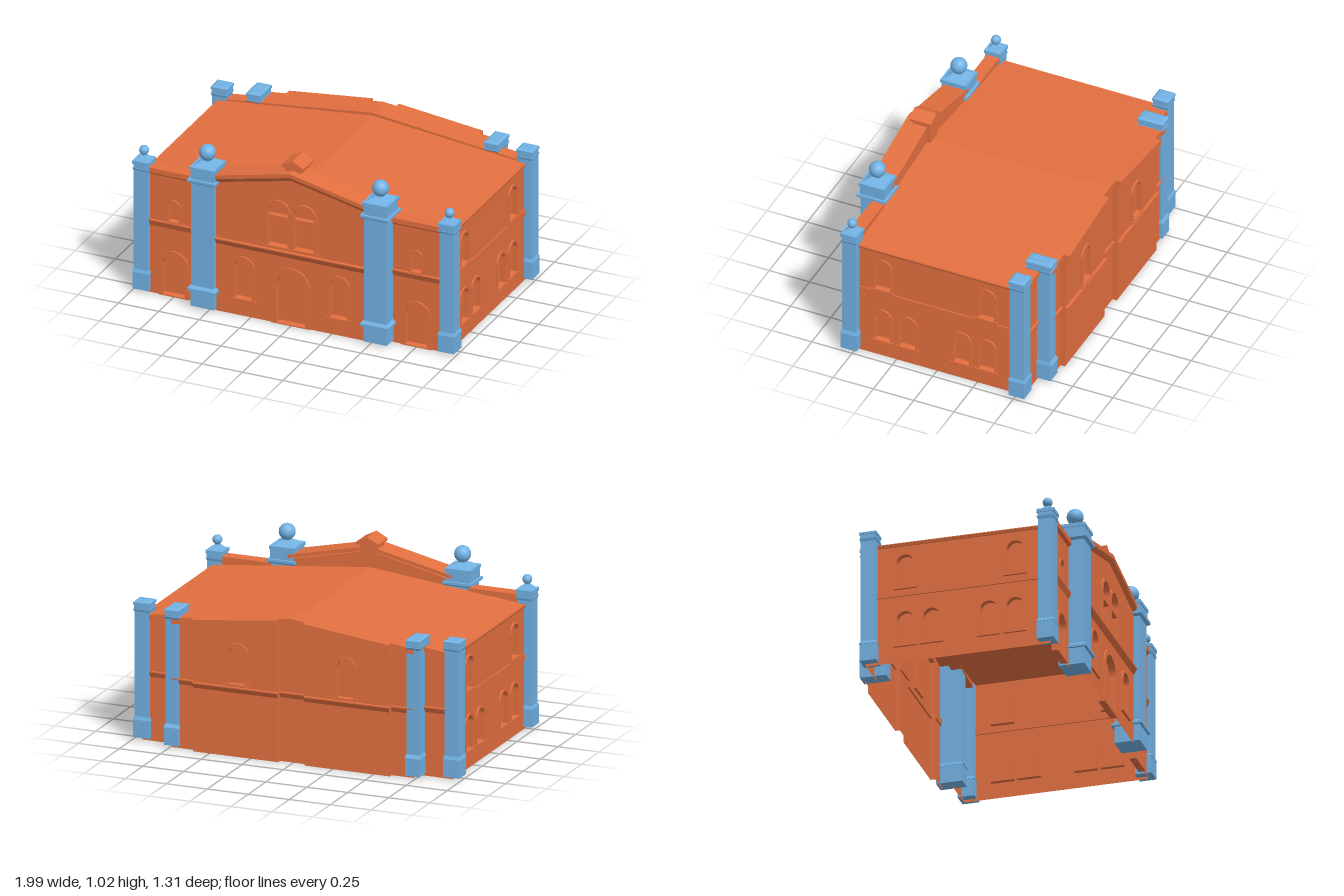
import * as THREE from 'three';

const brick = new THREE.MeshStandardMaterial({ color: 0xe37040, flatShading: true });
const brickSheet = new THREE.MeshStandardMaterial({ color: 0xe37040, side: THREE.DoubleSide });
const blue = new THREE.MeshStandardMaterial({ color: 0x72b2e4, flatShading: true });
const blueSmooth = new THREE.MeshStandardMaterial({ color: 0x72b2e4 });

function add(parent, name, geometry, material = brick) {
  const mesh = new THREE.Mesh(geometry, material);
  mesh.name = name;
  parent.add(mesh);
  return mesh;
}

// Box given by its limits
function box(parent, name, x0, x1, y0, y1, z0, z1) {
  const mesh = add(parent, name, new THREE.BoxGeometry(x1 - x0, y1 - y0, z1 - z0));
  mesh.position.set((x0 + x1) / 2, (y0 + y1) / 2, (z0 + z1) / 2);
}

// Shape extruded between two depths
function slab(parent, name, shape, z0, z1) {
  const geo = new THREE.ExtrudeGeometry(shape, { depth: z1 - z0, bevelEnabled: false, curveSegments: 14 });
  geo.translate(0, 0, z0);
  return add(parent, name, geo);
}

// Flat open surface
function sheet(parent, name, shape, z) {
  add(parent, name, new THREE.ShapeGeometry(shape, 14).translate(0, 0, z), brickSheet);
}

const poly = (pts) => new THREE.Shape(pts.map((p) => new THREE.Vector2(p[0], p[1])));
const rect = (x0, x1, y0, y1) => [[x0, y0], [x1, y0], [x1, y1], [x0, y1]];

// Round-headed opening outline
function arch(x, half, y0, top, Type = THREE.Shape) {
  const s = new Type();
  s.moveTo(x - half, y0);
  s.lineTo(x + half, y0);
  s.lineTo(x + half, top - half);
  s.absarc(x, top - half, half, 0, Math.PI, false);
  s.lineTo(x - half, y0);
  return s;
}

// Thin wall with recessed arched openings, raised surrounds and sills
function wall(parent, name, pts, z, openings, recess = 0.03) {
  const shape = poly(pts);
  for (const o of openings) {
    const t = o.trim ?? 0.018;
    const inner = [o.x, o.half - t, o.y0 + 0.008, o.top - t];
    shape.holes.push(arch(...inner, THREE.Path));
    sheet(parent, name + 'Pane', arch(...inner), z - recess);
    const ring = arch(o.x, o.half, o.y0 + 0.001, o.top);
    ring.holes.push(arch(...inner, THREE.Path));
    slab(parent, name + 'Surround', ring, z - recess, z + 0.01);
    if (o.sill) box(parent, name + 'Sill', o.x - o.half - 0.008, o.x + o.half + 0.008, o.y0 - 0.006, o.y0 + 0.008, z - recess, z + 0.014);
  }
  sheet(parent, name, shape, z);
}

// Ledge along x whose underside slopes out from the wall
function ledge(parent, name, x0, x1, y0, y1, z, out) {
  const mesh = slab(parent, name, poly([[z - 0.01, y0], [z, y0], [z + out, y1 - 0.006], [z + out, y1], [z - 0.01, y1]]), x0, x1);
  // profile (z, y) swept along x
  mesh.geometry.applyMatrix4(new THREE.Matrix4().set(0, 0, -1, x0 + x1, 0, 1, 0, 0, 1, 0, 0, 0, 0, 0, 0, 1));
  return mesh;
}

// Pier from stacked four-sided blocks: [bottom width, top width, y0, y1]
function pier(parent, name, x, z, depthRatio, layers, ball) {
  const g = new THREE.Group();
  g.name = name;
  for (const [w0, w1, y0, y1] of layers) {
    const geo = new THREE.CylinderGeometry(w1 * Math.SQRT1_2, w0 * Math.SQRT1_2, y1 - y0, 4);
    geo.rotateY(Math.PI / 4);
    geo.scale(1, 1, depthRatio);
    geo.translate(0, (y0 + y1) / 2, 0);
    add(g, name + 'Block', geo, blue);
  }
  if (ball) add(g, name + 'Ball', new THREE.SphereGeometry(ball[0], 24, 16), blueSmooth).position.y = ball[1];
  g.position.set(x, 0, z);
  parent.add(g);
}

const bigPier = [
  [0.145, 0.145, 0.015, 0.115], [0.174, 0.174, 0.115, 0.13], [0.165, 0.14, 0.13, 0.145],
  [0.14, 0.14, 0.145, 0.785], [0.15, 0.174, 0.785, 0.795], [0.174, 0.174, 0.795, 0.81],
  [0.145, 0.145, 0.81, 0.865], [0.155, 0.155, 0.865, 0.885], [0.13, 0.05, 0.885, 0.91], [0.04, 0.04, 0.9, 0.93],
];
const plainPier = [
  [0.098, 0.098, 0.015, 0.12], [0.104, 0.088, 0.12, 0.14], [0.088, 0.088, 0.14, 0.755],
  [0.09, 0.1, 0.755, 0.77], [0.092, 0.092, 0.77, 0.795],
];
const cornerPier = [...plainPier, [0.102, 0.102, 0.795, 0.815], [0.075, 0.03, 0.815, 0.84], [0.022, 0.022, 0.835, 0.85]];
const backPier = [...plainPier, [0.1, 0.1, 0.795, 0.81], [0.1, 0.07, 0.81, 0.817]];

export function createModel() {
  const model = new THREE.Group();
  model.name = 'hall';

  // Low gabled roof
  slab(model, 'roof', poly([[-0.95, 0.715], [0.95, 0.715], [0.955, 0.73], [0, 0.833], [-0.955, 0.73]]), -0.48, 0.49);

  // Gabled centre of the front
  const front = new THREE.Group();
  front.name = 'frontCentre';
  model.add(front);
  wall(front, 'frontWall', [[-0.47, 0], [0.47, 0], [0.47, 0.82], [0, 0.93], [-0.47, 0.82]], 0.6, [
    { x: 0, half: 0.12, y0: 0, top: 0.36, trim: 0.03 },
    { x: -0.295, half: 0.072, y0: 0.1, top: 0.37, sill: true },
    { x: 0.295, half: 0.072, y0: 0.1, top: 0.37, sill: true },
    { x: -0.081, half: 0.08, y0: 0.475, top: 0.77, sill: true },
    { x: 0.081, half: 0.08, y0: 0.475, top: 0.77, sill: true },
  ]);
  box(front, 'windowTransom', -0.15, 0.15, 0.63, 0.67, 0.57, 0.603);
  ledge(front, 'frontBand', -0.47, 0.47, 0.42, 0.46, 0.6, 0.02);
  slab(front, 'gableParapet', poly([[-0.53, 0.73], [0, 0.82], [0.53, 0.73], [0.53, 0.81], [0, 0.93], [-0.53, 0.81]]), 0.49, 0.595);
  slab(front, 'gableCoping', poly([[-0.5, 0.825], [0, 0.935], [0.5, 0.825], [0.5, 0.845], [0, 0.957], [-0.5, 0.845]]), 0.485, 0.622);
  // Peak block
  box(front, 'peakBlock', -0.05, 0.05, 0.84, 0.985, 0.465, 0.575);
  slab(front, 'peakCap', poly([[-0.068, 0.972], [0.068, 0.972], [0.068, 0.985], [0, 1.02], [-0.068, 0.985]]), 0.45, 0.585);

  for (const s of [-1, 1]) {
    // Raking moulding under the gable coping
    const rake = ledge(front, 'gableMoulding', Math.min(0, s * 0.5), Math.max(0, s * 0.5), 0.905, 0.938, 0.6, 0.02);
    rake.geometry.applyMatrix4(new THREE.Matrix4().makeShear(-s * 0.222, 0, 0, 0, 0, 0));

    // Front wings
    const [a, b] = s < 0 ? [-0.905, -0.6] : [0.6, 0.905];
    wall(model, 'wingWall', rect(a, b, 0, 0.76), 0.545, [
      { x: s * 0.75, half: 0.092, y0: 0, top: 0.285, trim: 0.024 },
      { x: s * 0.75, half: 0.04, y0: 0.46, top: 0.605, trim: 0.008 },
    ]);
    ledge(model, 'wingBand', a, b, 0.42, 0.46, 0.545, 0.015);
    ledge(model, 'wingCornice', a, b, 0.74, 0.765, 0.545, 0.015);
    box(model, 'wingParapet', a, b, 0.715, 0.76, 0.49, 0.54);
    box(model, 'wingCoping', a, b, 0.755, 0.785, 0.485, 0.562);

    // Side walls, built facing +z and turned outwards
    const side = new THREE.Group();
    side.name = s < 0 ? 'rightSide' : 'leftSide';
    side.rotation.y = s * Math.PI / 2;
    model.add(side);
    const openings = [0.335, 0.18, -0.155, -0.31].map((z) => ({ x: -s * z, half: 0.061, y0: 0.1, top: 0.32, trim: 0.012, sill: true }));
    for (const z of [0.335, -0.31]) openings.push({ x: -s * z, half: 0.061, y0: 0.455, top: 0.67, trim: 0.012, sill: true });
    wall(side, 'sideWall', rect(-0.54, 0.54, 0, 0.72), 0.943, openings, 0.025);
    box(side, 'sideBand', -0.48, 0.48, 0.405, 0.445, 0.935, 0.951);
    ledge(side, 'sideCornice', -0.48, 0.48, 0.715, 0.733, 0.943, 0.012);

    // Piers
    pier(model, 'frontPier', s * 0.535, 0.562, 1.03, bigPier, [0.048, 0.957]);
    pier(model, 'frontCornerPier', s * 0.945, 0.525, 1, cornerPier, [0.028, 0.87]);
    pier(model, 'backCornerPier', s * 0.945, -0.515, 1, backPier);
    pier(model, 'backPier', s * 0.735, -0.55, 1.75, backPier.map(([p, q, y0, y1]) => [p * 0.9, q * 0.9, y0, y1]));
  }

  // Back wall, built facing +z and turned round
  const back = new THREE.Group();
  back.name = 'back';
  back.rotation.y = Math.PI;
  model.add(back);
  const h = (x) => 0.85 - 0.116 * Math.abs(x);
  const coping = (x0, x1, t) => poly([[x0, h(x0) - t], [x1, h(x1) - t], [x1, h(x1)], [x0, h(x0)]]);
  for (const s of [-1, 1]) {
    const span = (p, q) => (s < 0 ? [-q, -p] : [p, q]);
    const plain = (name, p, q, z) => {
      const [u, v] = span(p, q);
      sheet(back, name, poly([[u, 0], [v, 0], [v, h(v) - 0.01], [u, h(u) - 0.01]]), z);
    };
    plain('backEndWall', 0.74, 0.95, 0.54);
    plain('backReturnWall', 0.6, 0.74, 0.605);
    plain('backMiddleWall', 0, 0.08, 0.605);
    // Projecting bay
    const [a, b] = span(0.08, 0.6);
    wall(back, 'backBay', [[a, 0], [b, 0], [b, h(b) - 0.01], [a, h(a) - 0.01]], 0.632, [
      { x: s * 0.33, half: 0.068, y0: 0.42, top: 0.67, sill: true },
    ], 0.02);
    for (const x of [a + 0.002, b - 0.002]) box(back, 'backBayReturn', x - 0.002, x + 0.002, 0, h(x) - 0.02, 0.605, 0.632);
    ledge(back, 'backBand', a, b, 0.375, 0.41, 0.632, 0.018);
    slab(back, 'backBayCornice', coping(a, b, 0.035), 0.605, 0.66);
    slab(back, 'backBayMoulding', coping(a, b, 0.06), 0.605, 0.645);
    // Stepped-back lengths
    const [c, d] = span(0.6, 0.74);
    slab(back, 'backReturnCornice', coping(c, d, 0.035), 0.605, 0.622);
    ledge(back, 'backReturnBand', c, d, 0.375, 0.41, 0.605, 0.015);
    const [e, f] = span(0.74, 0.95);
    slab(back, 'backEndCornice', coping(e, f, 0.03), 0.54, 0.555);
    ledge(back, 'backEndBand', e, f, 0.375, 0.41, 0.54, 0.015);
    slab(back, 'backMiddleCornice', coping(...span(0, 0.08), 0.035), 0.605, 0.628);
    slab(back, 'backParapet', coping(...span(0, 0.95), 0.06), 0.475, 0.54);
    slab(back, 'backParapetTop', coping(...span(0, 0.74), 0.03), 0.54, 0.605);
  }
  ledge(back, 'backMiddleBand', -0.08, 0.08, 0.375, 0.41, 0.605, 0.015);

  return model;
}
